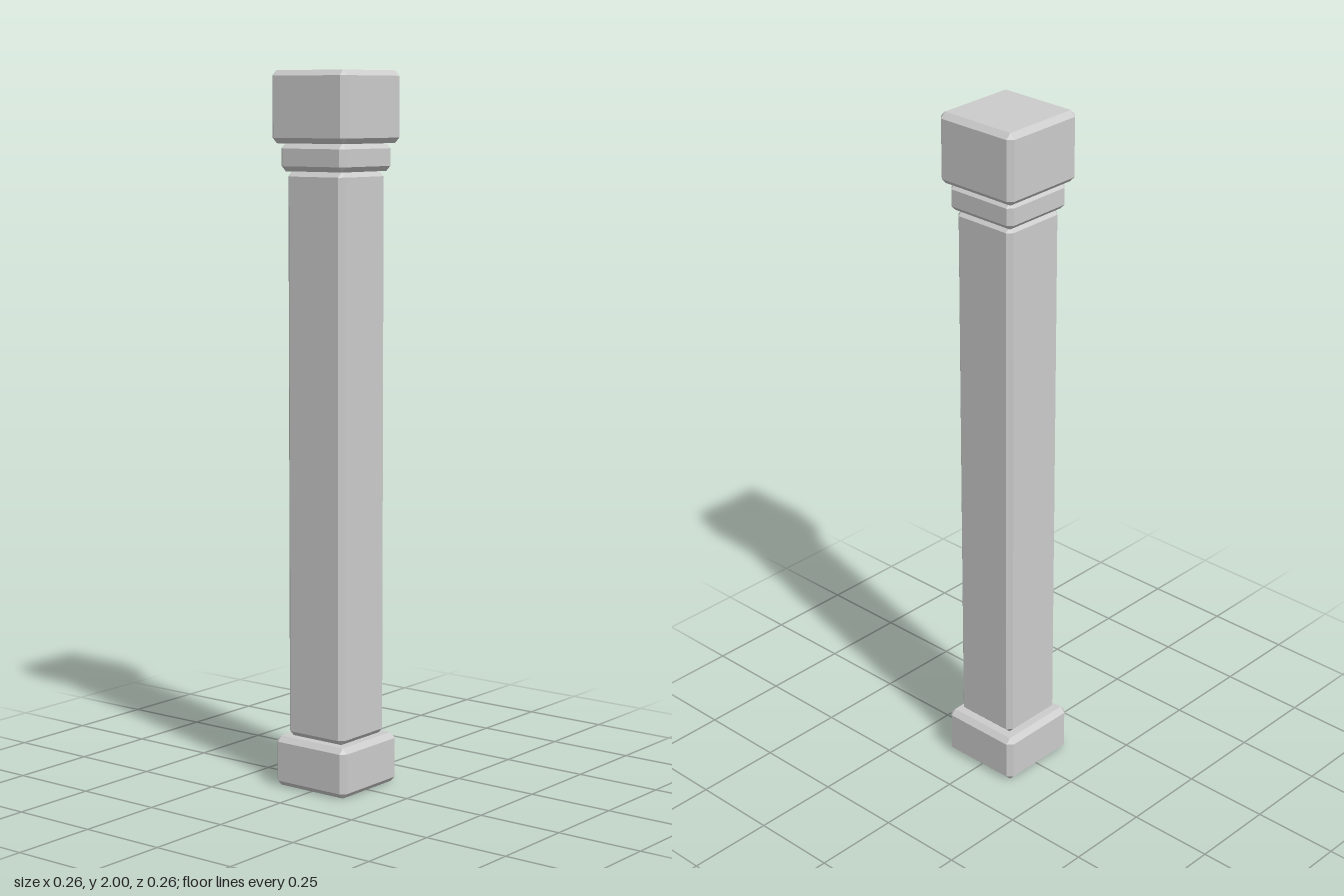
import * as THREE from 'three';
import { ConvexGeometry } from 'three/addons/geometries/ConvexGeometry.js';

const material = new THREE.MeshStandardMaterial({ color: 0xcccccc, flatShading: true });

// Square block with every edge and corner chamfered, spanning y0 to y1
function chamferedBlock(name, halfWidth, y0, y1, bevel) {
  const halfHeight = (y1 - y0) / 2;
  const points = [];
  for (const sx of [-1, 1]) for (const sy of [-1, 1]) for (const sz of [-1, 1]) {
    // each corner becomes three points, one on each adjoining face
    for (let axis = 0; axis < 3; axis++) {
      const inset = [bevel, bevel, bevel];
      inset[axis] = 0;
      points.push(new THREE.Vector3(
        sx * (halfWidth - inset[0]),
        sy * (halfHeight - inset[1]),
        sz * (halfWidth - inset[2])
      ));
    }
  }
  const mesh = new THREE.Mesh(new ConvexGeometry(points), material);
  mesh.name = name;
  mesh.position.y = (y0 + y1) / 2;
  return mesh;
}

export function createModel() {
  const pillar = new THREE.Group();
  pillar.name = 'pillar';
  pillar.add(
    chamferedBlock('base', 0.125, 0, 0.143, 0.015),
    chamferedBlock('shaft', 0.099, 0.143, 1.727, 0.014),
    chamferedBlock('neckBand', 0.112, 1.727, 1.803, 0.014),
    chamferedBlock('capital', 0.13, 1.803, 2, 0.015)
  );
  return pillar;
}
